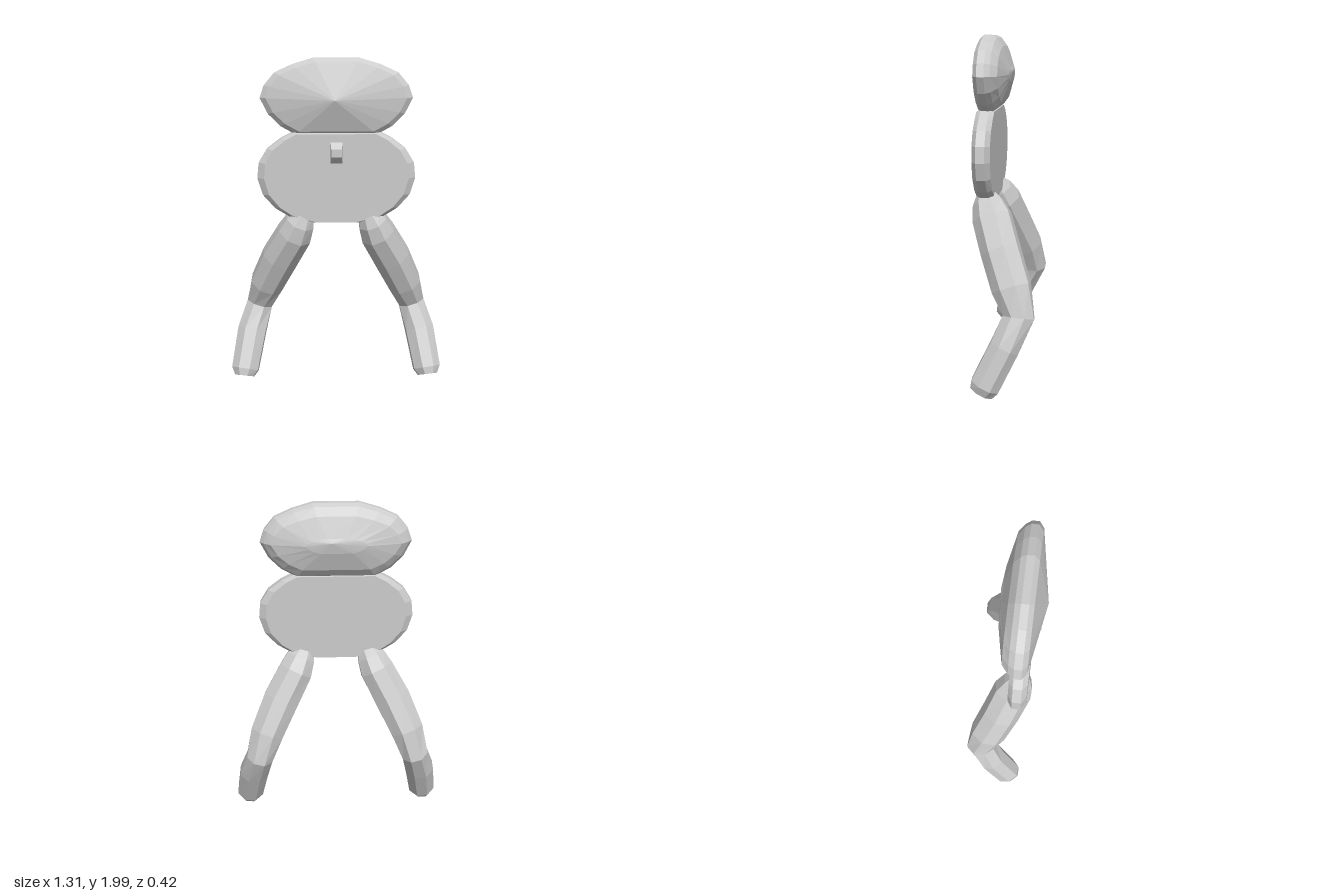
import * as THREE from 'three';

const material = new THREE.MeshStandardMaterial({ color: 0xcccccc, flatShading: true });
const V = (x, y, z) => new THREE.Vector3(x, y, z);

// Skin a stack of equal-length rings (counter-clockwise around the stacking axis), closed by fans
function loft(name, rings, startTip, endTip) {
  const pos = [];
  const tri = (...points) => points.forEach((p) => pos.push(p.x, p.y, p.z));
  const middle = (ring) => ring.reduce((s, p) => s.add(p), V(0, 0, 0)).divideScalar(ring.length);
  const n = rings[0].length;
  const first = rings[0], last = rings[rings.length - 1];
  const start = startTip || middle(first), end = endTip || middle(last);
  for (let j = 0; j < n; j++) {
    const k = (j + 1) % n;
    tri(start, first[k], first[j]);
    for (let i = 0; i + 1 < rings.length; i++) {
      const a = rings[i], b = rings[i + 1];
      tri(a[j], a[k], b[k]);
      tri(a[j], b[k], b[j]);
    }
    tri(end, last[j], last[k]);
  }
  const geometry = new THREE.BufferGeometry();
  geometry.setAttribute('position', new THREE.Float32BufferAttribute(pos, 3));
  geometry.computeVertexNormals();
  const mesh = new THREE.Mesh(geometry, material);
  mesh.name = name;
  return mesh;
}

// Symmetric outline from its right half (bottom to top), stacked along z as [z, scaleX, scaleY]
function slab(name, half, cy, layers, backTip, frontTip) {
  const outline = [...half, ...half.map(([x, y]) => [-x, y]).reverse()];
  const rings = layers.map(([z, sx, sy]) => outline.map(([x, y]) => V(x * sx, cy + (y - cy) * sy, z)));
  return loft(name, rings, backTip, frontTip);
}

// Octagonal limb: sections [x, y, z, half width, half depth] set square to the path
function limb(name, sections, side) {
  const centres = sections.map(([x, y, z]) => V(x * side, y, z));
  const rings = sections.map(([, , , w, d], i) => {
    const t = centres[Math.min(i + 1, centres.length - 1)].clone().sub(centres[Math.max(i - 1, 0)]).normalize();
    const u = V(1, 0, 0).addScaledVector(t, -t.x).normalize();
    const v = t.clone().cross(u);
    return Array.from({ length: 8 }, (_, j) => {
      const a = (j + 0.5) * Math.PI / 4, r = 1 / Math.cos(Math.PI / 8);
      return centres[i].clone().addScaledVector(u, Math.cos(a) * w * r).addScaledVector(v, Math.sin(a) * d * r);
    });
  });
  return loft(name, rings);
}

export function createModel() {
  const model = new THREE.Group();
  model.name = 'figure';

  // Wide faceted head, pointed at the front and gently domed at the back
  const headHalf = [[0.23, 1.57], [0.32, 1.62], [0.39, 1.69], [0.435, 1.78], [0.41, 1.85], [0.35, 1.92], [0.25, 1.965], [0.13, 2]];
  model.add(slab('head', headHalf, 1.78, [
    [-0.025, 0.4, 0.2], [0.015, 0.85, 0.72], [0.05, 0.95, 0.93], [0.08, 1, 1], [0.12, 1, 1], [0.145, 0.92, 0.9],
  ], V(0.03, 1.8, -0.037), V(-0.01, 1.77, 0.212)));

  // Flat body plate with chamfered rim
  const bodyHalf = [[0.13, 1.05], [0.28, 1.09], [0.36, 1.14], [0.43, 1.22], [0.46, 1.32], [0.45, 1.41], [0.4, 1.49], [0.32, 1.55], [0.25, 1.585]];
  model.add(slab('body', bodyHalf, 1.32, [
    [0.05, 0.91, 0.97], [0.075, 1, 1], [0.125, 1, 1], [0.152, 0.91, 0.97],
  ]));

  // Small wedge nub on the chest
  const nubHalf = [[0.034, 1.41], [0.034, 1.53]];
  model.add(slab('chestNub', nubHalf, 1.475, [[0.14, 1, 1], [0.155, 1, 1], [0.19, 0.9, 0.4]]));

  // Splayed legs, knees bent backwards
  const leg = [
    [0.19, 1.1, 0.105, 0.06, 0.05],
    [0.215, 1.05, 0.09, 0.085, 0.085],
    [0.25, 0.97, 0.062, 0.102, 0.11],
    [0.345, 0.8, 0, 0.108, 0.11],
    [0.435, 0.61, -0.072, 0.1, 0.108],
    [0.487, 0.46, -0.118, 0.08, 0.088],
    [0.535, 0.3, -0.045, 0.088, 0.083],
    [0.575, 0.08, 0.062, 0.082, 0.083],
    [0.58, 0.04, 0.083, 0.058, 0.068],
  ];
  model.add(limb('leftLeg', leg, 1), limb('rightLeg', leg, -1));

  return model;
}
